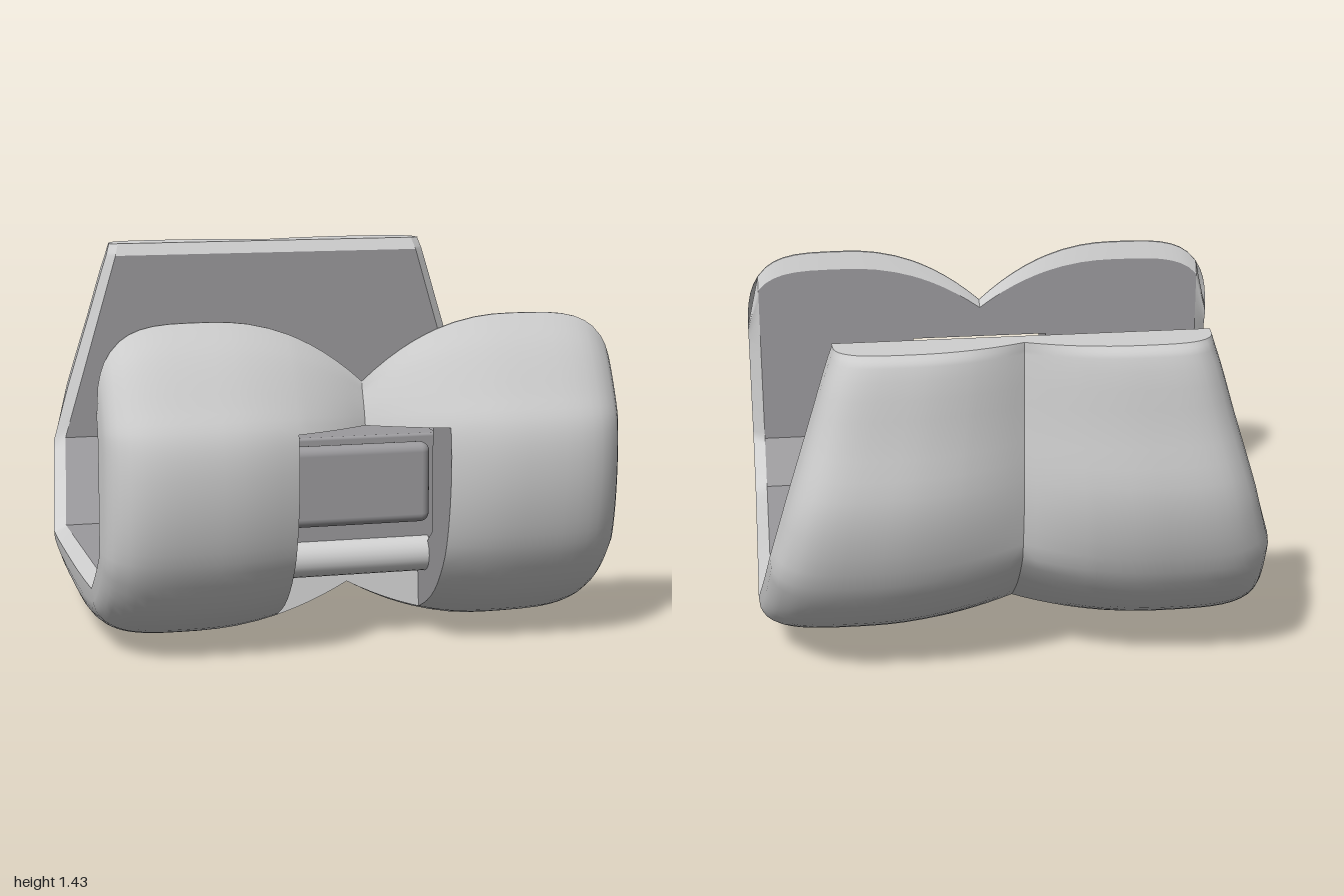
import * as THREE from 'three';
import { toCreasedNormals } from 'three/addons/utils/BufferGeometryUtils.js';
import { RoundedBoxGeometry } from 'three/addons/geometries/RoundedBoxGeometry.js';

// paired stations, front lip -> floor -> back lip: inner z, inner y, outer z, outer y
const STATIONS = [
  [0.745, 1.27, 0.757, 1.27], [0.72, 1.2, 0.84, 1.15], [0.72, 1.04, 0.925, 0.99],
  [0.72, 0.87, 0.983, 0.87], [0.72, 0.73, 1.0, 0.73], [0.72, 0.55, 0.98, 0.54],
  [0.72, 0.43, 0.92, 0.36], [0.64, 0.363, 0.785, 0.18], [0.54, 0.28, 0.56, 0.06],
  [0.22, 0.28, 0.22, 0], [-0.07, 0.28, -0.07, 0.02], [-0.31, 0.28, -0.31, 0.06],
  [-0.44, 0.28, -0.5, 0.13], [-0.6, 0.45, -0.73, 0.28], [-0.74, 0.6, -0.9, 0.5],
  [-0.74, 0.82, -0.99, 0.82], [-0.74, 1.12, -0.965, 1.12], [-0.74, 1.38, -0.935, 1.39],
  [-0.765, 1.43, -0.91, 1.43],
];
const SUB = 4;
const NOTCH_TOP = 3 * SUB, NOTCH_END = 8 * SUB; // rows of the front opening
const ROWS = (STATIONS.length - 1) * SUB;

// columns across one half, from the centre crease to the side edge
const COLS = [0, 0.05, 0.1, 0.15, 0.2, 0.25, 0.29, 0.36, 0.44, 0.51, 0.58, 0.66, 0.73,
  0.79, 0.84, 0.88, 0.915, 0.95, 0.97, 0.985, 0.995, 1];
const NOTCH_COL = 6, RIM_COL = 17, LAST = COLS.length - 1;
const LOBE = 0.58;

const outerCurve = new THREE.CatmullRomCurve3(STATIONS.map(s => new THREE.Vector3(0, s[3], s[2])));
function innerAt(r) {
  const i = Math.min(Math.floor(r / SUB), STATIONS.length - 2), t = r / SUB - i;
  const a = STATIONS[i], b = STATIONS[i + 1];
  return new THREE.Vector3(0, a[1] + (b[1] - a[1]) * t, a[0] + (b[0] - a[0]) * t);
}

const roundOff = u => {
  const t = (u - LOBE) / (1 - LOBE);
  return Math.pow(Math.max(0, 1 - t ** 4), 0.4);
};
// swelling of the two lobes, and height of the front lip
function swell(u, back) {
  const low = back ? 0.46 : 0.3;
  return u < LOBE ? 1 - (1 - low) * ((LOBE - u) / LOBE) ** 2 : 0.15 + 0.85 * roundOff(u);
}
function lipHeight(u) {
  return u < LOBE ? 1.27 - 0.24 * ((LOBE - u) / LOBE) ** 2.2 : 0.95 + 0.32 * roundOff(u);
}

// point of the shell: depth 0 = inner face, 1 = outer face
function shellPoint(r, u, depth) {
  const a = innerAt(r), b = outerCurve.getPoint(r / ROWS);
  const back = a.z < -0.4;
  let width = 1;
  if (back) width = a.y > 0.6 ? 0.95 - 0.31 * (a.y - 0.6) : 1 - 0.05 * (a.y - 0.28) / 0.32;
  const blend = THREE.MathUtils.smoothstep(-a.z, 0, 0.7);
  const g = swell(u, false) * (1 - blend) + swell(u, true) * blend;
  const p = a.lerp(b, depth * g);
  if (r < NOTCH_TOP) p.y = 0.87 + (p.y - 0.87) * (lipHeight(u) - 0.87) / 0.4;
  p.x = u * width;
  return p;
}

// rectangular patch of quads, mirrored by side
function patch(r0, r1, c0, c1, point, side, flip = false, skip = () => false) {
  const pos = [], idx = [], n = c1 - c0 + 1;
  for (let r = r0; r <= r1; r++) for (let c = c0; c <= c1; c++) {
    const p = point(r, c);
    pos.push(p.x * side, p.y, p.z);
  }
  for (let r = r0; r < r1; r++) for (let c = c0; c < c1; c++) {
    if (skip(r, c)) continue;
    const a = (r - r0) * n + c - c0, b = a + n;
    if ((side < 0) !== flip) idx.push(a, a + 1, b, a + 1, b + 1, b);
    else idx.push(a, b, a + 1, a + 1, b, b + 1);
  }
  const g = new THREE.BufferGeometry();
  g.setAttribute('position', new THREE.Float32BufferAttribute(pos, 3));
  g.setIndex(idx);
  g.computeVertexNormals();
  return g;
}

export function createModel() {
  const model = new THREE.Group();
  const light = new THREE.MeshStandardMaterial({ name: 'lightGrey', color: 0xd0d0d0, side: THREE.DoubleSide });
  const dark = new THREE.MeshStandardMaterial({ name: 'midGrey', color: 0x9b9a9d, side: THREE.DoubleSide });
  const add = (name, geo, mat, x = 0, y = 0, z = 0) => {
    const m = new THREE.Mesh(geo, mat);
    m.name = name;
    m.position.set(x, y, z);
    model.add(m);
    return m;
  };

  const inNotch = (r, c) => r >= NOTCH_TOP && r < NOTCH_END && c < NOTCH_COL;
  const outer = (r, c) => shellPoint(r, COLS[c], 1);
  const inner = (r, c) => shellPoint(r, COLS[c], 0);
  const across = r => (k, c) => shellPoint(r, COLS[c], k);

  for (const side of [1, -1]) {
    const name = side > 0 ? 'left' : 'right';
    add(name + 'OuterShell', patch(0, ROWS, 0, LAST, outer, side, false, inNotch), light);
    // lining and its pale border
    const lining = patch(SUB, ROWS - SUB, 0, RIM_COL, inner, side, true, inNotch);
    add(name + 'Lining', toCreasedNormals(lining, 0.35), dark);
    add(name + 'SideRim', patch(0, ROWS, 0, 1,
      (r, c) => shellPoint(r, c ? 1 : COLS[RIM_COL], c), side, true), light);
    for (const [r0, r1] of [[0, SUB], [ROWS - SUB, ROWS]])
      add(name + 'LipBevel', patch(r0, r1, 0, RIM_COL, inner, side, true), light);
    // lip tops, between lining and outer shell
    add(name + 'FrontLip', patch(0, 1, 0, LAST, across(0), side, true), light);
    add(name + 'BackLip', patch(0, 1, 0, LAST, across(ROWS), side), light);
    // walls of the front opening
    add(name + 'OpeningTop', patch(0, 1, 0, NOTCH_COL, across(NOTCH_TOP), side), dark);
    add(name + 'OpeningSill', patch(0, 1, 0, NOTCH_COL, across(NOTCH_END), side, true), light);
    add(name + 'OpeningSide', patch(NOTCH_TOP, NOTCH_END, 0, 1,
      (r, c) => shellPoint(r, COLS[NOTCH_COL], c), side, true), dark);

    // domed peg with a flared foot
    const profile = [[0.15, 0.275], [0.12, 0.29], [0.106, 0.33], [0.105, 0.54]].map(p => new THREE.Vector2(...p));
    for (let i = 1; i <= 8; i++) {
      const a = i / 8 * Math.PI / 2;
      profile.push(new THREE.Vector2(0.105 * Math.cos(a), 0.54 + 0.105 * Math.sin(a)));
    }
    add(name + 'Peg', new THREE.LatheGeometry(profile, 32), dark, side * 0.575, 0, 0.06);
  }

  // central block with the raised panel and bar seen through the opening
  add('centralBlock', new RoundedBoxGeometry(0.69, 0.53, 0.87, 2, 0.012), dark, 0, 0.535, 0.195);
  add('frontPanel', new RoundedBoxGeometry(0.58, 0.31, 0.08, 3, 0.035), dark, 0, 0.62, 0.665);
  const bar = add('crossBar', new THREE.CylinderGeometry(0.07, 0.07, 0.6, 24), light, 0, 0.33, 0.62);
  bar.rotation.z = Math.PI / 2;
  return model;
}
